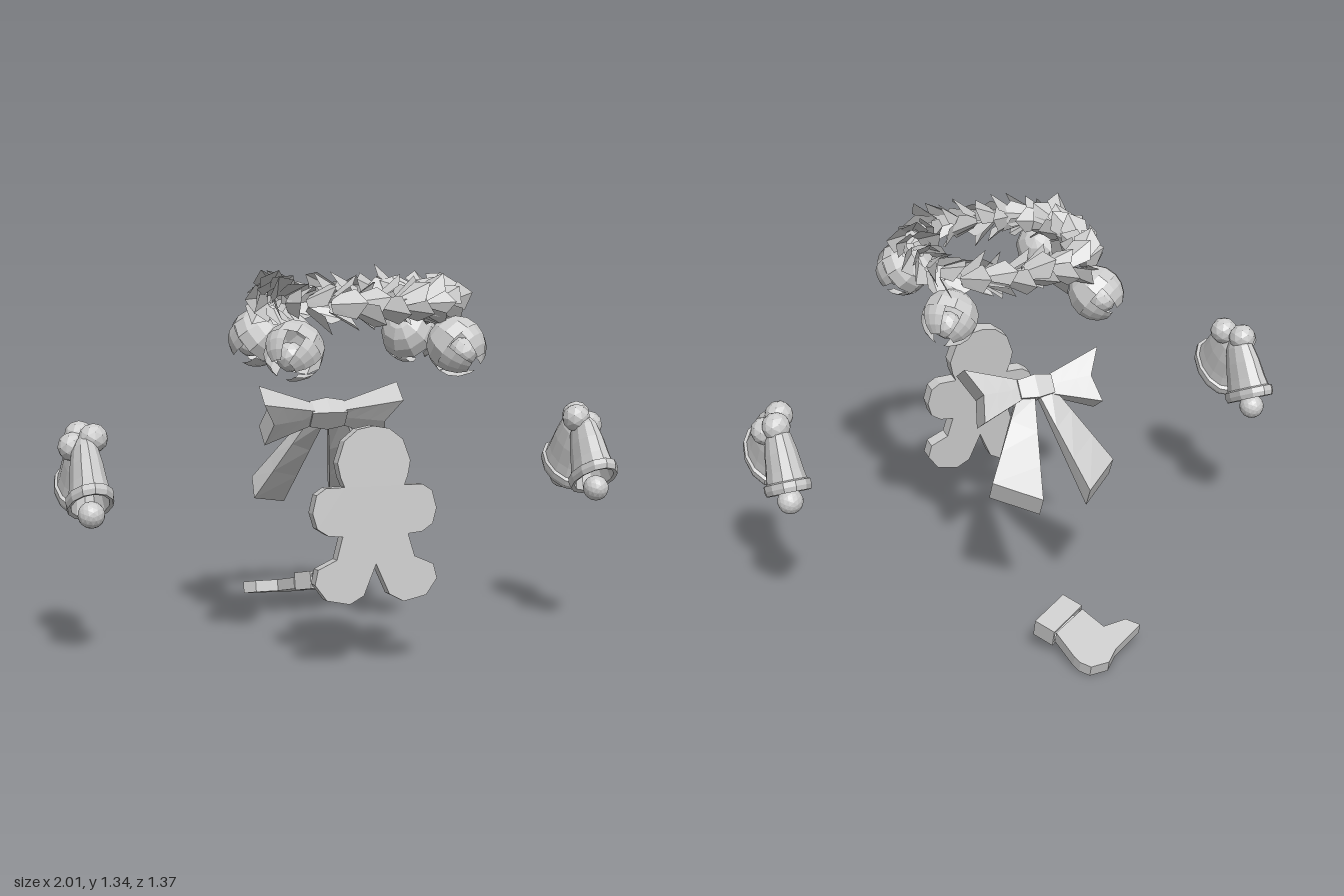
import * as THREE from 'three';

const grey = new THREE.MeshStandardMaterial({ color: 0xcccccc, flatShading: true });
const thin = new THREE.MeshStandardMaterial({ color: 0xcccccc, flatShading: true, side: THREE.DoubleSide });
const V = (x, y, z) => new THREE.Vector3(x, y, z);
const lerp = THREE.MathUtils.lerp;

function add(parent, name, geometry, material = grey) {
  const mesh = new THREE.Mesh(geometry, material);
  mesh.name = name;
  parent.add(mesh);
  return mesh;
}

function group(parent, name, x = 0, y = 0, z = 0) {
  const g = new THREE.Group();
  g.name = name;
  g.position.set(x, y, z);
  parent.add(g);
  return g;
}

const outline = (points) => points.map(([x, y]) => new THREE.Vector2(x, y));

function slab(points, depth, hole) {
  const shape = new THREE.Shape(outline(points));
  if (hole) shape.holes.push(new THREE.Path(outline(hole)));
  return new THREE.ExtrudeGeometry(shape, { depth, bevelEnabled: false });
}

// A box whose corners are moved by a rule
function bentBox(rule, nx = 1, ny = 1, nz = 1) {
  const geometry = new THREE.BoxGeometry(1, 1, 1, nx, ny, nz);
  const p = geometry.attributes.position;
  for (let i = 0; i < p.count; i++) p.setXYZ(i, ...rule(p.getX(i), p.getY(i), p.getZ(i)));
  geometry.computeVertexNormals();
  return geometry;
}

// Flat biscuit figure, leaning back slightly
function buildCookie(root) {
  const half = [
    [0.055, 0.59], [0.103, 0.552], [0.128, 0.48], [0.118, 0.43], [0.105, 0.398],
    [0.17, 0.397], [0.203, 0.375], [0.218, 0.315], [0.203, 0.262], [0.165, 0.237],
    [0.115, 0.232], [0.137, 0.155], [0.203, 0.125], [0.215, 0.075], [0.175, 0.02],
    [0.095, 0.003], [0.045, 0.03],
  ];
  const mirrored = half.slice().reverse().map(([x, y]) => [-x, y]);
  const points = [[0, 0.6], ...half, [0, 0.135], ...mirrored].reverse();
  const cookie = group(root, 'cookieFigure', 0, 0.23, 0.538);
  cookie.rotation.x = -0.075;
  add(cookie, 'cookieBody', slab(points, 0.052));
}

// Two flattened hand bells tied with three berries
function buildBellPair(root, side, z) {
  const pair = group(root, side > 0 ? 'leftBells' : 'rightBells', side * 0.92, 0, z);
  const profile = outline([
    [0, 0.235], [0.045, 0.225], [0.073, 0.19], [0.092, 0.13], [0.104, 0.065], [0.114, 0.03],
    [0.13, 0.025], [0.132, 0.005], [0.124, -0.012], [0.105, -0.008], [0.09, 0.06], [0, 0.18],
  ].reverse());
  for (const s of [1, -1]) {
    const bell = group(pair, 'bell', 0, 0.575, s * 0.135);
    bell.rotation.x = -0.53 * s;
    add(bell, 'bellCup', new THREE.LatheGeometry(profile, 12), thin).scale.x = 0.62;
    add(bell, 'clapper', new THREE.IcosahedronGeometry(0.046, 2)).position.y = -0.04;
  }
  const berries = [[-0.005, 0.782, -0.046], [-0.035, 0.75, -0.002], [0.03, 0.782, 0.038]];
  for (const [x, y, bz] of berries) {
    add(pair, 'berry', new THREE.IcosahedronGeometry(0.051, 1)).position.set(-side * x, y, bz);
  }
}

// One broad folded leaf pointing along +z, with its spine raised
function leafGeometry() {
  const v = [
    0, 0.012, 0, -0.03, 0, 0.005, -0.05, -0.008, 0.08,
    0, 0.01, 0.125, 0.05, -0.008, 0.08, 0.03, 0, 0.005,
  ];
  const geometry = new THREE.BufferGeometry();
  geometry.setAttribute('position', new THREE.Float32BufferAttribute(v, 3));
  geometry.setIndex([0, 1, 2, 0, 2, 3, 0, 3, 4, 0, 4, 5]);
  geometry.computeVertexNormals();
  return geometry;
}

// Square garland of overlapping leaves, with uneven tilt
function buildGarland(root) {
  const garland = group(root, 'garland', 0.006, 1.24, 0.308);
  const a = 0.265, b = 0.18, deep = 0.97;
  const corners = [[b, a], [a, b], [a, -b], [b, -a], [-b, -a], [-a, -b], [-a, b], [-b, a]];
  const path = new THREE.CatmullRomCurve3(corners.map(([x, z]) => V(x, 0, z * deep)), true);
  const leaf = leafGeometry();
  const stations = 26, around = 4;
  for (let i = 0; i < stations; i++) {
    const u = i / stations;
    const point = path.getPointAt(u), tangent = path.getTangentAt(u);
    const out = V(tangent.z, 0, -tangent.x);
    for (let k = 0; k < around; k++) {
      const angle = ((k + (i % 2) * 0.5) / around) * Math.PI * 2 + 0.3 * Math.sin(i * 4.1 + k * 1.7);
      const radial = out.clone().multiplyScalar(Math.cos(angle)).add(V(0, Math.sin(angle), 0));
      const zAxis = tangent.clone().multiplyScalar(0.8)
        .addScaledVector(radial, 0.5 + 0.25 * Math.sin(i * 2.3 + k * 2)).normalize();
      const xAxis = V(0, 0, 0).crossVectors(radial, zAxis).normalize();
      const yAxis = V(0, 0, 0).crossVectors(zAxis, xAxis);
      const mesh = add(garland, 'garlandLeaf', leaf, thin);
      mesh.quaternion.setFromRotationMatrix(new THREE.Matrix4().makeBasis(xAxis, yAxis, zAxis));
      mesh.position.copy(point).addScaledVector(radial, 0.014).addScaledVector(tangent, -0.05);
    }
  }
}

// Hollow round bell with four claws around its opening
function buildJingleBell(root, sx, z, sz) {
  const r = 0.102;
  const bell = group(root, 'jingleBell', sx * 0.282, 1.095, z);
  bell.quaternion.setFromUnitVectors(V(0, -1, 0), V(sx * 0.55, -0.6, sz * 0.55).normalize());
  add(bell, 'bellShell', new THREE.SphereGeometry(r, 10, 4, 0, Math.PI * 2, 0, Math.PI * 0.52), thin);
  for (let k = 0; k < 4; k++) {
    add(bell, 'bellClaw', new THREE.SphereGeometry(r, 2, 3, k * Math.PI / 2, 0.95, Math.PI * 0.52, Math.PI * 0.34), thin);
  }
  add(bell, 'bellPellet', new THREE.IcosahedronGeometry(0.05, 1)).position.y = -0.03;
}

// Ribbon bow leaning back, with flared loops and tails
function buildBow(root) {
  const bow = group(root, 'bow', 0, 0.8, 0);
  bow.rotation.x = 0.64;
  add(bow, 'bowKnot', bentBox((x, y, z) => {
    const pinch = 1 - 0.2 * Math.abs(x) * 2;
    return [x * 0.13, y * 0.085 * pinch, -0.01 + z * 0.08 * pinch];
  }, 2, 2, 2));
  for (const side of [1, -1]) {
    add(bow, 'bowLoop', bentBox((x, y, z) => {
      const t = x * side + 0.5;
      const notch = t * 0.035 * (1 - Math.abs(y) * 2);
      return [side * (lerp(0.04, 0.243 + y * 0.03, t) - notch), y * lerp(0.06, 0.2, t), -0.01 + z * lerp(0.04, 0.1, t)];
    }, 3, 2, 1));
    add(bow, 'bowTail', bentBox((x, y, z) => {
      const across = x * side + 0.5, t = 0.5 - y;
      return [
        side * lerp(lerp(0.01, 0.06, across), lerp(0.09, 0.235, across), t),
        lerp(lerp(-0.04, 0, across), lerp(-0.43, -0.328, across), t) - z * 0.04 * t,
        lerp(-0.012, lerp(-0.045, 0.028, across), t) + z * lerp(0.03, 0.072, t),
      ];
    }, 1, 3, 1));
  }
}

// Boot lying on its side, raised towards its hollow cuff
function buildBoot(root) {
  const boot = group(root, 'boot', 0, 0.046, -0.52);
  boot.rotation.x = -0.26;
  const body = [
    [-0.18, 0.025], [-0.14, -0.015], [-0.05, -0.005], [-0.01, -0.105], [0.125, -0.025],
    [0.108, 0.1], [0.098, 0.13], [0.07, 0.16], [0, 0.157], [-0.05, 0.105],
  ];
  add(boot, 'bootBody', slab(body, 0.044)).rotation.x = -Math.PI / 2;
  const rect = (w, h) => [[-w, -h], [w, -h], [w, h], [-w, h]];
  const cuff = add(boot, 'bootCuff', slab(rect(0.086, 0.034), 0.083, rect(0.077, 0.026)));
  cuff.position.set(0.066, 0.028, 0.06);
  cuff.rotation.y = 0.56;
}

export function createModel() {
  const root = new THREE.Group();
  root.name = 'festiveDecorations';
  buildCookie(root);
  buildBellPair(root, 1, 0.15);
  buildBellPair(root, -1, 0.182);
  buildGarland(root);
  for (const sx of [1, -1]) {
    buildJingleBell(root, sx, 0.572, 1);
    buildJingleBell(root, sx, 0.08, -1);
  }
  buildBow(root);
  buildBoot(root);
  return root;
}
